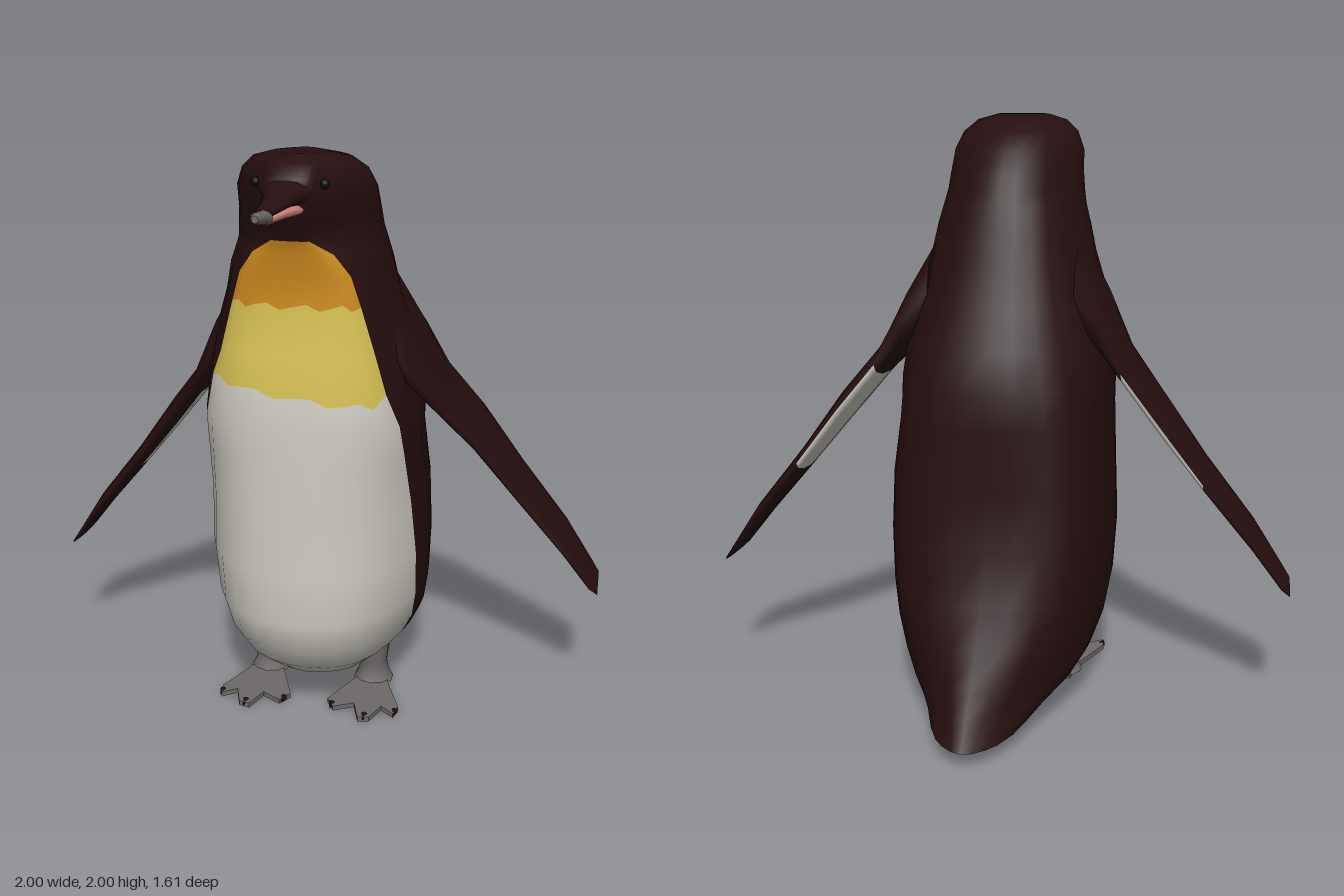
import * as THREE from 'three';

const mat = (name, color) => {
  const m = new THREE.MeshStandardMaterial({ color });
  m.name = name;
  return m;
};
const plumage = mat('dark plumage', 0x260e0f);
const white = mat('belly white', 0xd2cfc5);
const yellow = mat('chest yellow', 0xd8c255);
const orange = mat('throat orange', 0xcd8b20);
const pink = mat('bill pink', 0xcf7f76);
const grey = mat('foot grey', 0x6e6969);
const black = mat('eye black', 0x0b0707);

// Skin a stack of closed rings; pick(row, column) gives a material index
function loft(name, rings, materials, pick = () => 0) {
  const n = rings[0].length;
  const pos = rings.flat().flatMap((p) => [p.x, p.y, p.z]);
  const faces = materials.map(() => []);
  for (let i = 0; i < rings.length - 1; i++) {
    for (let j = 0; j < n; j++) {
      const a = i * n + j, b = i * n + ((j + 1) % n);
      faces[pick(i, j)].push(a, b, b + n, a, b + n, a + n);
    }
  }
  // End caps with their own corners, so the rims stay crisp
  [rings[0], rings[rings.length - 1]].forEach((ring, end) => {
    const c = ring.reduce((s, p) => s.add(p), new THREE.Vector3()).divideScalar(n);
    const start = pos.length / 3;
    [c, ...ring].forEach((p) => pos.push(p.x, p.y, p.z));
    for (let j = 0; j < n; j++) {
      const a = start + 1 + j, b = start + 1 + ((j + 1) % n);
      faces[0].push(start, end ? a : b, end ? b : a);
    }
  });
  const geo = new THREE.BufferGeometry();
  geo.setAttribute('position', new THREE.Float32BufferAttribute(pos, 3));
  geo.setIndex(faces.flat());
  let offset = 0;
  faces.forEach((f, k) => {
    geo.addGroup(offset, f.length, k);
    offset += f.length;
  });
  geo.computeVertexNormals();
  const mesh = new THREE.Mesh(geo, materials);
  mesh.name = name;
  return mesh;
}

// y, front z, colour border x and z, side x, back corner x and z, back z
const TORSO = [
  [0.055, -0.08, 0.10, -0.17, 0.17, 0.10, -0.72, -0.80],
  [0.09, 0.10, 0.18, -0.13, 0.22, 0.12, -0.65, -0.77],
  [0.13, 0.22, 0.24, -0.09, 0.27, 0.15, -0.58, -0.73],
  [0.20, 0.31, 0.30, -0.03, 0.32, 0.19, -0.51, -0.67],
  [0.30, 0.39, 0.345, 0.03, 0.355, 0.24, -0.46, -0.59],
  [0.42, 0.43, 0.365, 0.085, 0.375, 0.27, -0.43, -0.52],
  [0.60, 0.43, 0.37, 0.13, 0.385, 0.28, -0.41, -0.445],
  [0.80, 0.435, 0.355, 0.165, 0.38, 0.28, -0.39, -0.43],
  [1.00, 0.44, 0.34, 0.24, 0.36, 0.27, -0.36, -0.43],
  [1.12, 0.44, 0.33, 0.29, 0.365, 0.26, -0.34, -0.42],
  [1.24, 0.44, 0.29, 0.33, 0.36, 0.23, -0.30, -0.385],
  [1.37, 0.42, 0.255, 0.34, 0.345, 0.20, -0.25, -0.31],
  [1.53, 0.40, 0.21, 0.355, 0.29, 0.17, -0.19, -0.245],
  [1.63, 0.41, 0.18, 0.37, 0.27, 0.16, -0.15, -0.205],
  [1.70, 0.425, 0.13, 0.39, 0.25, 0.15, -0.12, -0.175],
  [1.745, 0.435, 0.06, 0.425, 0.24, 0.14, -0.09, -0.15],
];
const HEAD = [
  [1.80, 0.465, 0.10, 0.41, 0.235, 0.14, -0.06, -0.125],
  [1.88, 0.505, 0.10, 0.43, 0.23, 0.13, -0.01, -0.07],
  [1.94, 0.48, 0.10, 0.42, 0.205, 0.12, 0.05, 0.00],
  [1.98, 0.42, 0.09, 0.38, 0.16, 0.09, 0.13, 0.09],
  [2.00, 0.36, 0.05, 0.34, 0.09, 0.05, 0.22, 0.19],
];
const COLS = 30;
const isFront = (j) => j < 6 || j >= 24;

function bodyRing([y, zf, xb, zb, xs, xc, zc, zk], row) {
  const half = [
    [xb * 0.6, zf - 0.2 * (zf - zb)],
    [xb, zb],
    [xs, (zb + zc) / 2],
    [xc, zc],
  ];
  const pts = [[0, zf], ...half, [0, zk], ...half.map(([x, z]) => [-x, z]).reverse()];
  const curve = new THREE.CatmullRomCurve3(pts.map(([x, z]) => new THREE.Vector3(x, y, z)), true);
  return Array.from({ length: COLS }, (_, j) => {
    const p = curve.getPoint(j / COLS);
    // Ragged feather edges between the chest colours
    if (isFront(j) && (row === 10 || row === 12)) {
      p.y += 0.012 * Math.sin(j * 2.1) - (row === 10 ? 0.12 * p.x : 0);
    }
    return p;
  });
}

function body() {
  const rings = [...TORSO, ...HEAD].map(bodyRing);
  return loft('body', rings, [plumage, white, yellow, orange], (i, j) => {
    if (!isFront(j) || i >= 15) return 0;
    return i < 10 ? 1 : i < 12 ? 2 : 3;
  });
}

// Oval ring standing across the x axis
const wingRing = ([x, top, bottom, front, back]) =>
  Array.from({ length: 12 }, (_, j) => {
    const a = (j / 12) * Math.PI * 2;
    return new THREE.Vector3(
      x,
      (top + bottom) / 2 + (Math.cos(a) * (top - bottom)) / 2,
      (front + back) / 2 + (Math.sin(a) * (front - back)) / 2,
    );
  });

function wing(side) {
  const sections = [
    [0.25, 1.58, 1.25, 0.25, -0.17],
    [0.34, 1.41, 1.19, 0.25, -0.22],
    [0.42, 1.23, 1.11, 0.18, -0.25],
    [0.55, 1.07, 0.95, 0.09, -0.28],
    [0.70, 0.86, 0.77, 0.05, -0.275],
    [0.87, 0.645, 0.57, 0.02, -0.265],
    [0.97, 0.485, 0.445, 0.0, -0.255],
    [1.00, 0.44, 0.42, -0.03, -0.23],
  ];
  // Pale patch on the rear of the underside
  const w = loft(side > 0 ? 'leftWing' : 'rightWing', sections.map(wingRing), [plumage, white],
    (i, j) => (i >= 2 && i <= 3 && j >= 5 && j <= 8 ? 1 : 0));
  w.scale.x = side;
  return w;
}

// Oval ring standing across the z axis: z, half width, top, bottom
const billRing = ([z, w, top, bottom]) =>
  Array.from({ length: 12 }, (_, j) => {
    const a = (j / 12) * Math.PI * 2;
    return new THREE.Vector3(
      w * Math.cos(a), (top + bottom) / 2 + (Math.sin(a) * (top - bottom)) / 2, z);
  });

function bill() {
  const g = new THREE.Group();
  g.name = 'bill';
  const upper = [[0.44, 0.09, 1.95, 1.85], [0.52, 0.06, 1.925, 1.862],
    [0.60, 0.042, 1.9, 1.866], [0.72, 0.028, 1.888, 1.866]];
  const lower = [[0.46, 0.06, 1.875, 1.825], [0.60, 0.04, 1.872, 1.838], [0.72, 0.026, 1.87, 1.845]];
  const tip = [[0.72, 0.028, 1.888, 1.846], [0.78, 0.022, 1.893, 1.856], [0.81, 0.01, 1.888, 1.866]];
  g.add(
    loft('upperBill', upper.map(billRing), [plumage]),
    loft('lowerBill', lower.map(billRing), [pink]),
    loft('billTip', tip.map(billRing), [grey]),
  );
  return g;
}

function foot(side) {
  const g = new THREE.Group();
  g.name = side > 0 ? 'leftFoot' : 'rightFoot';
  // Webbed sole with three toes
  const outline = [[-0.04, -0.08], [0.04, -0.08], [0.06, 0.03], [0.13, 0.2], [0.12, 0.25], [0.07, 0.21],
    [0.04, 0.29], [0, 0.3], [-0.03, 0.21], [-0.1, 0.25], [-0.13, 0.2], [-0.06, 0.03]];
  const shape = new THREE.Shape(outline.map(([x, z]) => new THREE.Vector2(x, z)));
  const soleGeo = new THREE.ExtrudeGeometry(shape, { depth: 0.018, bevelEnabled: false });
  soleGeo.rotateX(Math.PI / 2).translate(0, 0.018, 0);
  const sole = new THREE.Mesh(soleGeo, grey);
  sole.name = 'webbedSole';
  // Instep and shank
  const leg = new THREE.Mesh(new THREE.LatheGeometry(
    [[0.075, 0.01], [0.058, 0.04], [0.05, 0.08], [0.062, 0.17]].map(([r, y]) => new THREE.Vector2(r, y)), 10), grey);
  leg.name = 'leg';
  leg.position.z = -0.01;
  g.add(sole, leg);
  // Claws
  [[0.122, 0.24], [0.02, 0.29], [-0.11, 0.24]].forEach(([x, z]) => {
    const claw = new THREE.Mesh(new THREE.ConeGeometry(0.012, 0.04, 6), plumage);
    claw.name = 'claw';
    claw.rotation.x = Math.PI / 2;
    claw.position.set(x, 0.013, z);
    g.add(claw);
  });
  g.position.x = 0.2 * side;
  g.scale.x = side;
  return g;
}

function eye(side) {
  const e = new THREE.Mesh(new THREE.SphereGeometry(0.016, 12, 8), black);
  e.name = side > 0 ? 'leftEye' : 'rightEye';
  e.position.set(0.108 * side, 1.92, 0.42);
  return e;
}

export function createModel() {
  const model = new THREE.Group();
  model.name = 'penguin';
  model.add(body(), bill());
  [1, -1].forEach((side) => model.add(wing(side), foot(side), eye(side)));
  return model;
}
